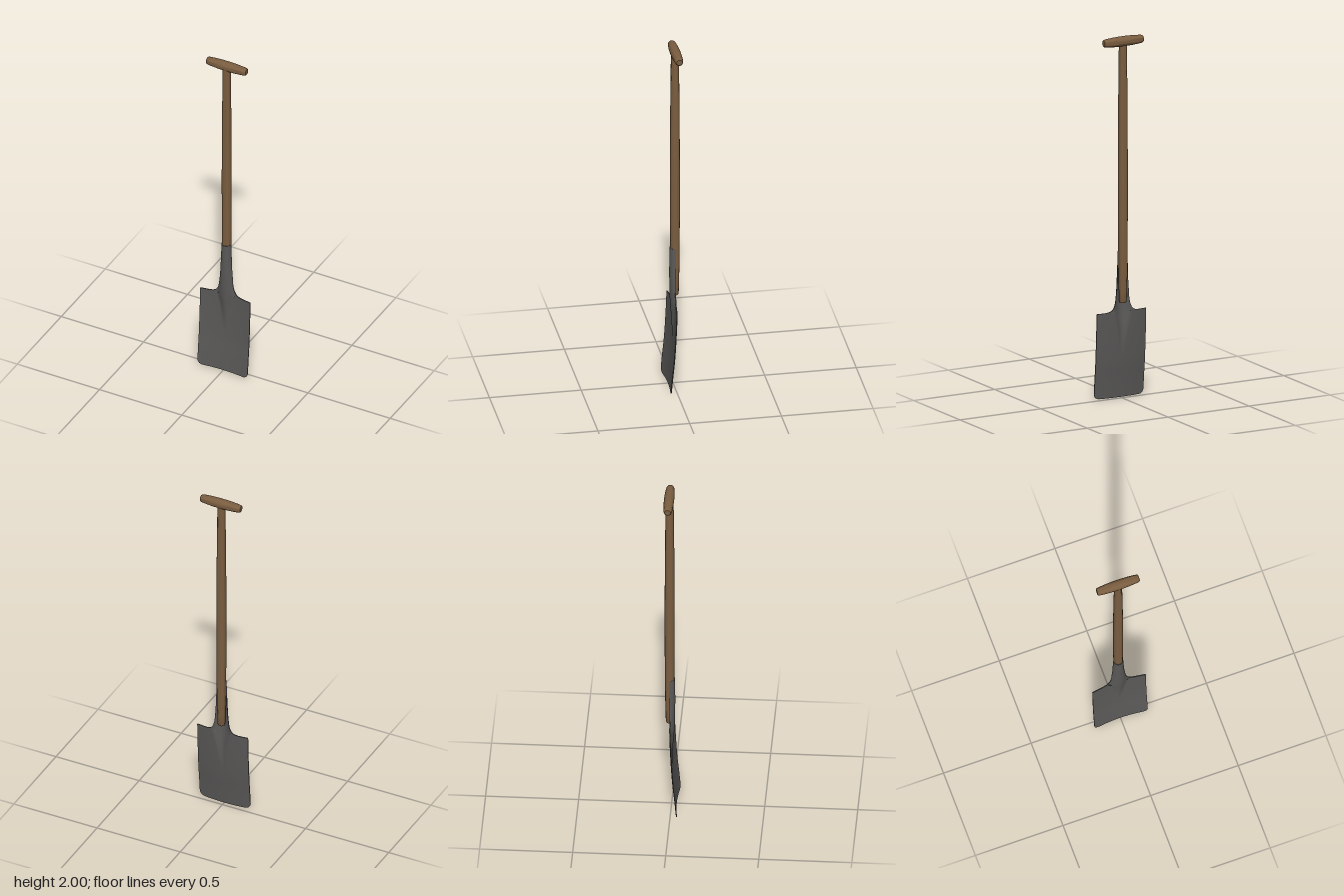
import * as THREE from 'three';
import { mergeGeometries, toCreasedNormals } from 'three/addons/utils/BufferGeometryUtils.js';

// Smooth interpolation through [position, value] pairs in ascending order
function track(pts) {
  const slope = (i) => {
    const a = pts[Math.max(i - 1, 0)], b = pts[Math.min(i + 1, pts.length - 1)];
    return (b[1] - a[1]) / (b[0] - a[0]);
  };
  return (y) => {
    if (y <= pts[0][0]) return pts[0][1];
    if (y >= pts[pts.length - 1][0]) return pts[pts.length - 1][1];
    let i = 0;
    while (y > pts[i + 1][0]) i++;
    const d = pts[i + 1][0] - pts[i][0], t = (y - pts[i][0]) / d, t2 = t * t, t3 = t2 * t;
    return (2 * t3 - 3 * t2 + 1) * pts[i][1] + (t3 - 2 * t2 + t) * d * slope(i)
      + (3 * t2 - 2 * t3) * pts[i + 1][1] + (t3 - t2) * d * slope(i + 1);
  };
}

// Surface grid; its front is the direction of u cross v
function grid(point, nu, nv) {
  const pos = [], index = [];
  for (let j = 0; j <= nv; j++) for (let i = 0; i <= nu; i++) pos.push(...point(i, j));
  for (let j = 0; j < nv; j++) for (let i = 0; i < nu; i++) {
    const a = j * (nu + 1) + i, b = a + nu + 1;
    index.push(a, a + 1, b, a + 1, b + 1, b);
  }
  const g = new THREE.BufferGeometry();
  g.setAttribute('position', new THREE.Float32BufferAttribute(pos, 3));
  g.setIndex(index);
  g.computeVertexNormals();
  return g.toNonIndexed();
}

// Blade and half-open socket pressed from one sheet
function bladeGeometry() {
  const neckWidth = track([[0.479, 0.1], [0.481, 0.085], [0.487, 0.068], [0.5, 0.056], [0.53, 0.045], [0.6, 0.037], [0.7, 0.031], [0.81, 0.027]]);
  const base = track([[0, 0.027], [0.1, 0.018], [0.2, 0.008], [0.35, -0.001], [0.48, -0.006], [0.65, -0.009], [0.81, -0.011]]);
  const ridge = track([[0.26, 0], [0.33, 0.005], [0.4, 0.012], [0.48, 0.021], [0.6, 0.027], [0.81, 0.03]]);
  const ridgeWidth = track([[0.26, 0.014], [0.3, 0.02], [0.4, 0.038], [0.48, 0.052], [0.55, 0.043], [0.6, 0.037], [0.7, 0.031], [0.81, 0.027]]);
  const ridgePower = track([[0.4, 2], [0.5, 1.2], [0.6, 0.6], [0.81, 0.5]]);
  const thick = track([[0, 0.005], [0.48, 0.005], [0.6, 0.0035], [0.81, 0.003]]);

  // Rows as [height, half width]: rounded bottom corners, straight sides, shoulder, neck
  const rows = [], corner = 0.03, half = 0.152;
  for (let k = 0; k <= 6; k++) {
    const a = (k / 6) * Math.PI / 2;
    rows.push([corner * (1 - Math.cos(a)), half - corner + corner * Math.sin(a)]);
  }
  for (let k = 1; k <= 22; k++) rows.push([corner + (0.478 - corner) * k / 22, half]);
  for (let k = 0; k <= 26; k++) {
    const y = 0.479 + 0.331 * (k / 26) ** 1.8;
    rows.push([y, neckWidth(y)]);
  }

  const nu = 64, nv = rows.length - 1;
  const point = (i, j, front) => {
    const [y, w] = rows[j], u = 2 * i / nu - 1;
    const x = w * (w > 0.1 ? Math.sign(u) * Math.abs(u) ** 1.4 : Math.sin(u * Math.PI / 2));
    const t = Math.min(Math.abs(x) / ridgeWidth(y), 1);
    const z = base(y) + 0.013 * (x / half) ** 2 + ridge(y) * (1 - t * t) ** ridgePower(y);
    return [x, y, front ? z : z - thick(y)];
  };

  // Rim joins the two faces
  const edge = [];
  for (let i = 0; i < nu; i++) edge.push([i, 0]);
  for (let j = 0; j < nv; j++) edge.push([nu, j]);
  for (let i = nu; i > 0; i--) edge.push([i, nv]);
  for (let j = nv; j >= 0; j--) edge.push([0, j]);
  const rim = grid((i, j) => point(...edge[i], j === 1), edge.length - 1, 1);
  return mergeGeometries([
    grid((i, j) => point(i, j, true), nu, nv),
    grid((i, j) => point(nu - i, j, false), nu, nv),
    toCreasedNormals(rim, 0.6),
  ]);
}

// Turned wooden part from [radius, height] pairs
function turned(profile) {
  const g = new THREE.LatheGeometry(profile.map(([r, y]) => new THREE.Vector2(r, y)), 32);
  return toCreasedNormals(g, 0.7);
}

export function createModel() {
  const group = new THREE.Group();
  const wood = new THREE.MeshStandardMaterial({ color: 0x7a5d40 });
  wood.name = 'wood';
  const steel = new THREE.MeshStandardMaterial({ color: 0x5a5958 });
  steel.name = 'steel';
  const add = (name, geometry, material) => {
    const mesh = new THREE.Mesh(geometry, material);
    mesh.name = name;
    group.add(mesh);
    return mesh;
  };

  add('bladeAndSocket', bladeGeometry(), steel);

  // Shaft, swelling slightly in the middle
  const shaft = add('shaft', turned([
    [0, 0.53], [0.018, 0.53], [0.0205, 0.537], [0.022, 0.6], [0.0245, 0.7], [0.0255, 0.8], [0.0265, 1],
    [0.0268, 1.25], [0.026, 1.5], [0.0245, 1.7], [0.0225, 1.87], [0.0215, 1.97],
  ]), wood);
  shaft.position.z = -0.011;

  // Barrel-shaped cross grip
  const side = [[0.0275, 0], [0.0272, 0.03], [0.026, 0.06], [0.0238, 0.09], [0.0215, 0.111], [0.0195, 0.117], [0.016, 0.12], [0, 0.12]];
  const lower = side.slice(1).reverse().map(([r, y]) => [r, -y]);
  const grip = add('grip', turned([...lower, ...side]), wood);
  grip.rotation.z = -Math.PI / 2;
  grip.position.set(0, 1.9725, -0.0143);

  return group;
}
